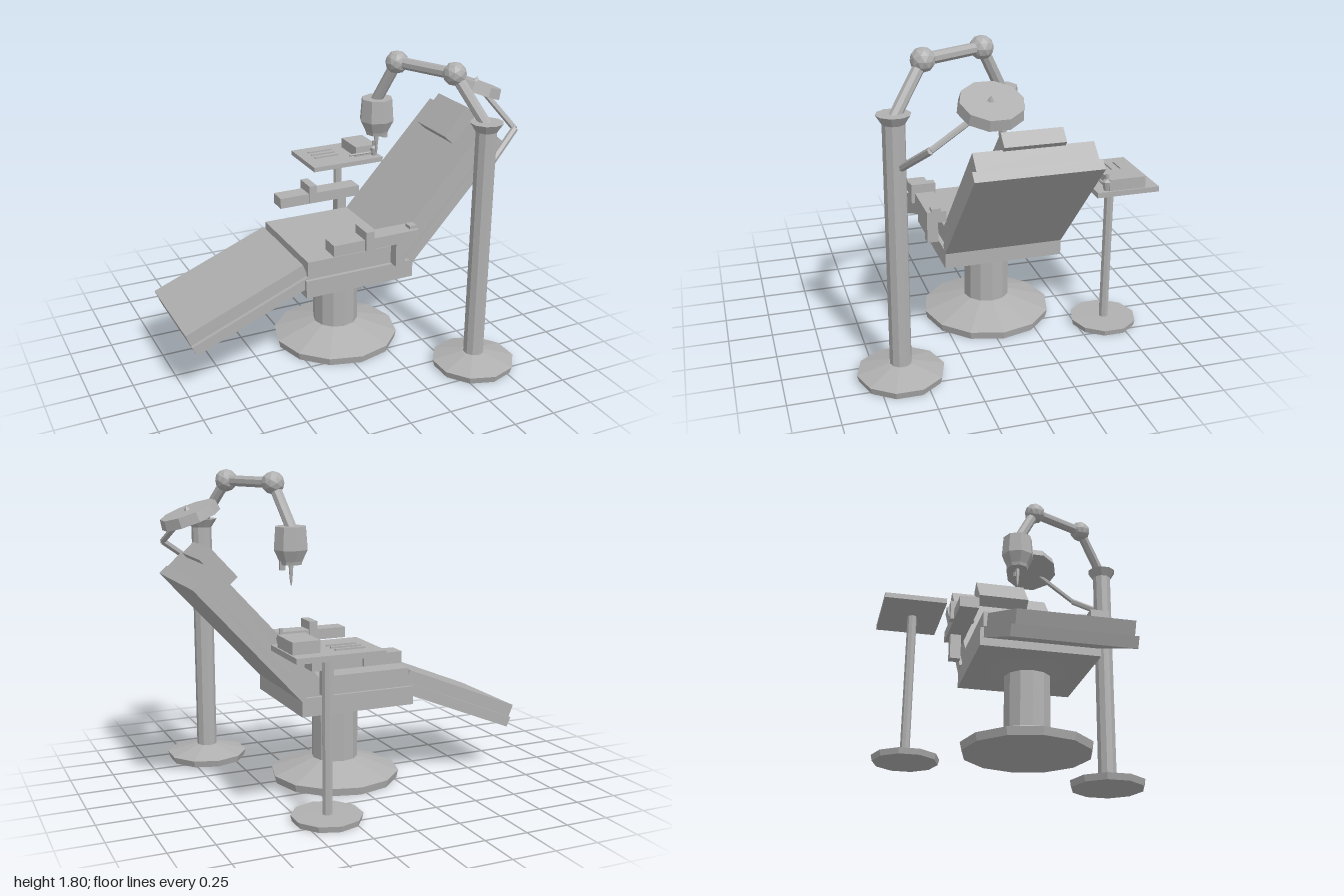
import * as THREE from 'three';

export function createModel() {
  const root = new THREE.Group();
  root.name = 'treatmentChair';
  const grey = new THREE.MeshStandardMaterial({ color: 0xb0b0b0 });
  grey.flatShading = true;

  const add = (name, geo, x = 0, y = 0, z = 0) => {
    const m = new THREE.Mesh(geo, grey);
    m.name = name;
    m.position.set(x, y, z);
    root.add(m);
    return m;
  };
  // Box from its min and max corners
  const box = (name, x0, x1, y0, y1, z0, z1) =>
    add(name, new THREE.BoxGeometry(x1 - x0, y1 - y0, z1 - z0), (x0 + x1) / 2, (y0 + y1) / 2, (z0 + z1) / 2);
  // Side profile extruded across z
  const slab = (name, pts, z0, z1) => {
    const shape = new THREE.Shape(pts.map(p => new THREE.Vector2(...p)));
    return add(name, new THREE.ExtrudeGeometry(shape, { depth: z1 - z0, bevelEnabled: false }), 0, 0, z0);
  };
  // Turned part, profile listed from bottom to top
  const lathe = (name, pts, sides, x, z) =>
    add(name, new THREE.LatheGeometry(pts.map(p => new THREE.Vector2(...p)), sides), x, 0, z);
  // Straight rod between two points
  const rod = (name, a, b, r, sides = 6) => {
    const A = new THREE.Vector3(...a), B = new THREE.Vector3(...b);
    const d = B.clone().sub(A);
    const m = add(name, new THREE.CylinderGeometry(r, r, d.length(), sides));
    m.position.copy(A).add(B).multiplyScalar(0.5);
    m.quaternion.setFromUnitVectors(new THREE.Vector3(0, 1, 0), d.normalize());
    return m;
  };

  // Chair pedestal
  lathe('pedestal', [[0, 0], [0.368, 0], [0.378, 0.045], [0.135, 0.128], [0.135, 0.45], [0.23, 0.485], [0, 0.485]], 12, 0.043, -0.037);

  // Seat
  box('seatFrame', -0.295, 0.385, 0.485, 0.59, -0.38, 0.3);
  slab('seatCushion', [[-0.275, 0.59], [0.36, 0.59], [0.29, 0.695], [-0.275, 0.695]], -0.36, 0.277);

  // Leg rest
  slab('legCushion', [[-1, 0.39], [-0.972, 0.322], [-0.269, 0.607], [-0.297, 0.675]], -0.34, 0.255);
  slab('legFrame', [[-0.972, 0.322], [-0.947, 0.266], [-0.244, 0.551], [-0.269, 0.607]], -0.36, 0.278);

  // Backrest and headrest
  slab('backFrame', [[0.385, 0.573], [0.98, 1.225], [0.936, 1.265], [0.341, 0.613]], -0.38, 0.3);
  slab('backCushion', [[0.341, 0.613], [0.936, 1.265], [0.86, 1.335], [0.265, 0.683]], -0.36, 0.278);
  slab('headrest', [[0.89, 1.355], [0.827, 1.414], [0.68, 1.253], [0.743, 1.195]], -0.204, 0.123);

  // Armrests, mirrored about the chair's middle plane
  const mid = -0.04;
  for (const s of [1, -1]) {
    const side = s > 0 ? 'left' : 'right';
    const span = (a, b) => [mid + s * a, mid + s * b].sort((p, q) => p - q);
    box(side + 'Armrest', -0.17, 0.365, 0.76, 0.825, ...span(0.325, 0.435));
    box(side + 'ArmPost', 0.23, 0.29, 0.61, 0.762, ...span(0.355, 0.418));
    box(side + 'WristStrap', 0.02, 0.07, 0.765, 0.877, ...span(0.315, 0.455));
  }
  box('armButton', 0.32, 0.365, 0.82, 0.843, 0.317, 0.37);

  // Tool column
  lathe('column', [[0, 0], [0.23, 0], [0.242, 0.04], [0.068, 0.088], [0.06, 0.088], [0.06, 1.445], [0.092, 1.495], [0, 1.495]], 10, 0.632, 0.618);

  // Jointed arm
  const elbow = [0.527, 1.73, 0.44], wrist = [0.366, 1.73, 0.087];
  rod('lowerArm', [0.635, 1.47, 0.618], elbow, 0.033, 8);
  rod('middleArm', elbow, wrist, 0.033, 8);
  rod('upperArm', wrist, [0.305, 1.48, -0.04], 0.033, 8);
  for (const [name, p] of [['elbowJoint', elbow], ['wristJoint', wrist]])
    add(name, new THREE.IcosahedronGeometry(0.066, 1), ...p);

  // Drill head and its two points
  lathe('drillHead', [[0, 1.28], [0.065, 1.28], [0.07, 1.3], [0.102, 1.365], [0.092, 1.495], [0, 1.495]], 8, 0.31, -0.038);
  lathe('drillBit', [[0, 1.155], [0.006, 1.175], [0.012, 1.24], [0.014, 1.29], [0, 1.29]], 6, 0.31, -0.038);
  lathe('nozzle', [[0, 1.25], [0.018, 1.25], [0.018, 1.36], [0, 1.36]], 6, 0.363, -0.038);

  // Lamp on a bent arm
  const bend = [0.904, 1.383, 0.495];
  rod('lampArmLower', [0.66, 1.212, 0.6], bend, 0.02);
  rod('lampArmUpper', bend, [0.852, 1.555, 0.2], 0.017);
  const lamp = add('lamp', new THREE.CylinderGeometry(0.163, 0.172, 0.058, 10), 0.83, 1.56, 0.172);
  lamp.rotation.z = -0.36;
  const knob = add('lampKnob', new THREE.ConeGeometry(0.02, 0.03, 5), 0.845, 1.6, 0.178);
  knob.rotation.z = -0.36;

  // Instrument stand
  lathe('standBase', [[0, 0], [0.187, 0], [0.195, 0.033], [0, 0.036]], 10, 0.365, -0.67);
  rod('standPole', [0.365, 0.03, -0.675], [0.365, 0.91, -0.675], 0.028, 8);
  box('tray', 0.12, 0.607, 0.905, 0.935, -0.865, -0.503);
  box('trayBox', 0.447, 0.598, 0.935, 1.0, -0.785, -0.575);
  for (let i = 0; i < 3; i++)
    box('instrument' + (i + 1), 0.195, 0.362, 0.935, 0.944, -0.774 + i * 0.055, -0.764 + i * 0.055);
  lathe('bottle', [[0, 0.935], [0.018, 0.935], [0.028, 0.985], [0.012, 1.0], [0.012, 1.03], [0, 1.03]], 8, 0.574, -0.567);
  rod('probe', [0.4, 0.955, -0.567], [0.56, 0.955, -0.567], 0.007);

  return root;
}
